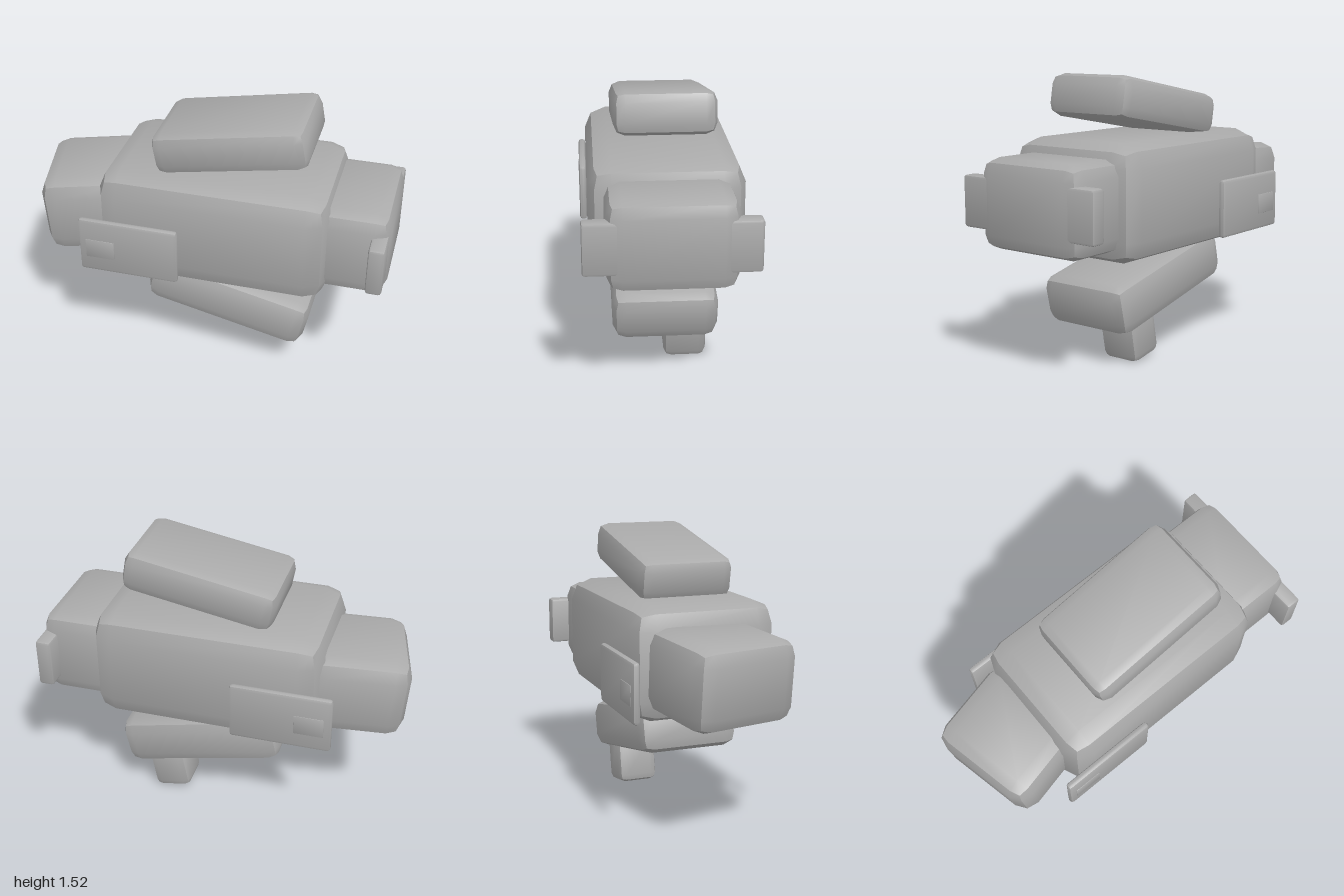
import * as THREE from 'three';
import { mergeVertices, toCreasedNormals } from 'three/addons/utils/BufferGeometryUtils.js';

// Box with a two-facet bevel of radius r on every edge
function bevelBox(w, h, d, r) {
  const g = new THREE.BoxGeometry(1, 1, 1, 3, 3, 3);
  g.deleteAttribute('uv');
  g.deleteAttribute('normal');
  const p = g.attributes.position;
  const core = new THREE.Vector3(w / 2 - r, h / 2 - r, d / 2 - r);
  const v = new THREE.Vector3(), dir = new THREE.Vector3(), sign = new THREE.Vector3();
  const outer = (c) => (Math.abs(c) > 0.4 ? Math.sign(c) : 0);
  for (let i = 0; i < p.count; i++) {
    v.fromBufferAttribute(p, i);
    dir.set(outer(v.x), outer(v.y), outer(v.z)).normalize();
    sign.set(Math.sign(v.x), Math.sign(v.y), Math.sign(v.z));
    v.copy(core).multiply(sign).addScaledVector(dir, r);
    p.setXYZ(i, v.x, v.y, v.z);
  }
  return toCreasedNormals(mergeVertices(g), 0.6);
}

export function createModel() {
  const model = new THREE.Group();
  model.name = 'blockFish';
  const grey = new THREE.MeshStandardMaterial({ color: 0xaaaaaa });
  grey.name = 'grey';

  const add = (name, size, r, pos, rotZ = 0, rotY = 0) => {
    const mesh = new THREE.Mesh(bevelBox(...size, r), grey);
    mesh.name = name;
    mesh.position.set(...pos);
    mesh.rotation.set(0, rotY, rotZ);
    model.add(mesh);
  };

  // Trunk, turned head and tail block
  add('body', [1.26, 0.61, 0.8], 0.12, [0.06, 0.885, 0]);
  add('head', [0.54, 0.44, 0.6], 0.09, [-0.69, 0.855, 0.005], 0.08, 0.21);
  add('tail', [0.5, 0.47, 0.65], 0.08, [0.745, 0.883, -0.005]);
  add('tailBar', [0.085, 0.27, 0.87], 0.015, [0.942, 0.885, 0]);

  // Tilted fins and the stub under the lower one
  add('upperFin', [0.836, 0.226, 0.525], 0.06, [0.125, 1.346, 0], 0.18);
  add('lowerFin', [0.914, 0.273, 0.56], 0.07, [0.127, 0.399, 0], -0.22);
  add('foot', [0.215, 0.28, 0.23], 0.04, [0.325, 0.148, -0.115], -0.18);

  // Side plates with a small raised patch
  for (const s of [1, -1]) {
    const side = s > 0 ? 'left' : 'right';
    add(side + 'SidePlate', [0.55, 0.32, 0.04], 0.018, [-0.375, 0.78, s * 0.42]);
    add(side + 'Patch', [0.16, 0.11, 0.008], 0.003, [-0.53, 0.765, s * 0.439]);
  }
  return model;
}
